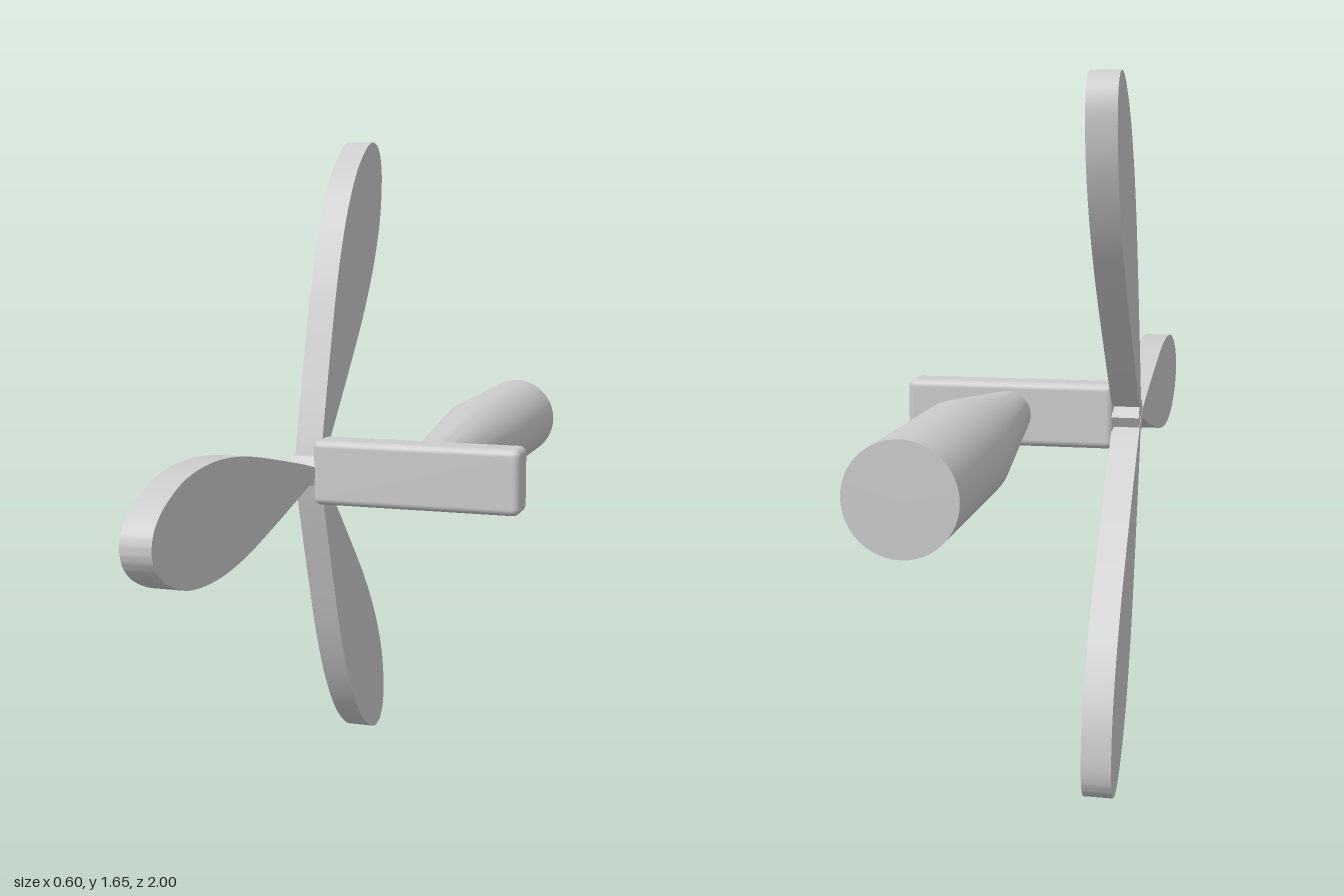
import * as THREE from 'three';
import { toCreasedNormals } from 'three/addons/utils/BufferGeometryUtils.js';
import { RoundedBoxGeometry } from 'three/addons/geometries/RoundedBoxGeometry.js';

const HUB_Y = 0.823, HUB_Z = 0.055;   // axis shared by blades, arm and handle
const BLADE_X = -0.265, THICK = 0.07;

export function createModel() {
  const model = new THREE.Group();
  const material = new THREE.MeshStandardMaterial({ color: 0xcccccc });
  const add = (name, geometry, x, y, z) => {
    const mesh = new THREE.Mesh(geometry, material);
    mesh.name = name;
    mesh.position.set(x, y, z);
    model.add(mesh);
    return mesh;
  };

  // Petal outline: half-width along the blade, mirrored for the other edge
  const edge = new THREE.SplineCurve([
    [0, 0], [0.1, 0.03], [0.35, 0.088], [0.5, 0.117], [0.645, 0.129],
    [0.78, 0.117], [0.88, 0.08], [0.93, 0.04], [0.945, 0],
  ].map(([d, w]) => new THREE.Vector2(d, w))).getPoints(40);
  const mirrored = edge.slice(1, -1).reverse();
  const outline = [...edge.map((p) => new THREE.Vector2(p.x, -p.y)), ...mirrored];
  const flat = new THREE.ExtrudeGeometry(new THREE.Shape(outline), { depth: THICK, bevelEnabled: false });
  flat.translate(0, 0, -THICK / 2).rotateY(-Math.PI / 2);
  const blade = toCreasedNormals(flat, 0.6);

  // Three blades around the x axis
  for (let i = 0; i < 3; i++) {
    add('blade', blade, BLADE_X, HUB_Y, HUB_Z).rotation.x = (i * Math.PI * 2) / 3;
  }

  // Small hub joining the blade roots
  const hub = new THREE.CylinderGeometry(0.044, 0.044, THICK - 0.002, 6).rotateZ(Math.PI / 2);
  add('hub', toCreasedNormals(hub, 0.5), BLADE_X, HUB_Y, HUB_Z);

  // Rounded arm between blades and handle
  add('arm', new RoundedBoxGeometry(0.53, 0.164, 0.092, 4, 0.018), 0.03, HUB_Y, HUB_Z);

  // Tapered handle running backwards
  const profile = [[0, 0], [0.117, 0], [0.117, 0.49], [0.059, 1.02], [0, 1.02]]
    .map(([r, h]) => new THREE.Vector2(r, h));
  const handle = new THREE.LatheGeometry(profile, 48).rotateX(Math.PI / 2);
  add('handle', toCreasedNormals(handle, 0.5), 0.035, HUB_Y, -1);

  return model;
}
